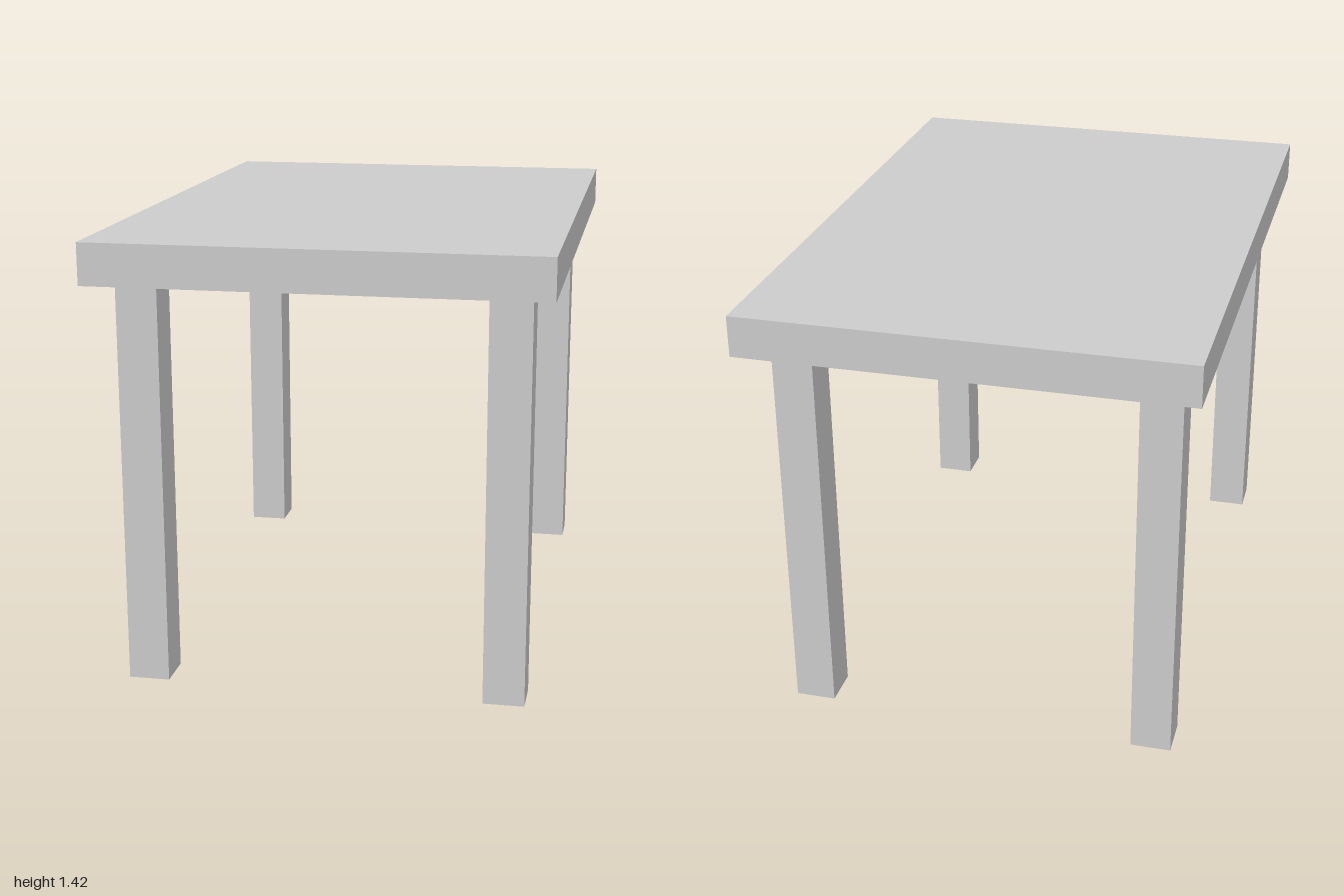
import * as THREE from 'three';

export function createModel() {
  const group = new THREE.Group();
  const material = new THREE.MeshStandardMaterial({ color: 0xcccccc, flatShading: true });

  const addBox = (name, size, position) => {
    const mesh = new THREE.Mesh(new THREE.BoxGeometry(...size), material);
    mesh.name = name;
    mesh.position.set(...position);
    group.add(mesh);
  };

  const height = 1.418, thickness = 0.13, legWidth = 0.129;
  const legHeight = height - thickness;

  // Slab top
  addBox('tableTop', [1.4, thickness, 2], [0, height - thickness / 2, 0]);

  // Four square legs, set in from the corners
  for (const [side, x] of [['Left', 0.563], ['Right', -0.566]]) {
    for (const [end, z] of [['front', 0.808], ['back', -0.802]]) {
      addBox(`${end}${side}Leg`, [legWidth, legHeight, legWidth], [x, legHeight / 2, z]);
    }
  }

  return group;
}
